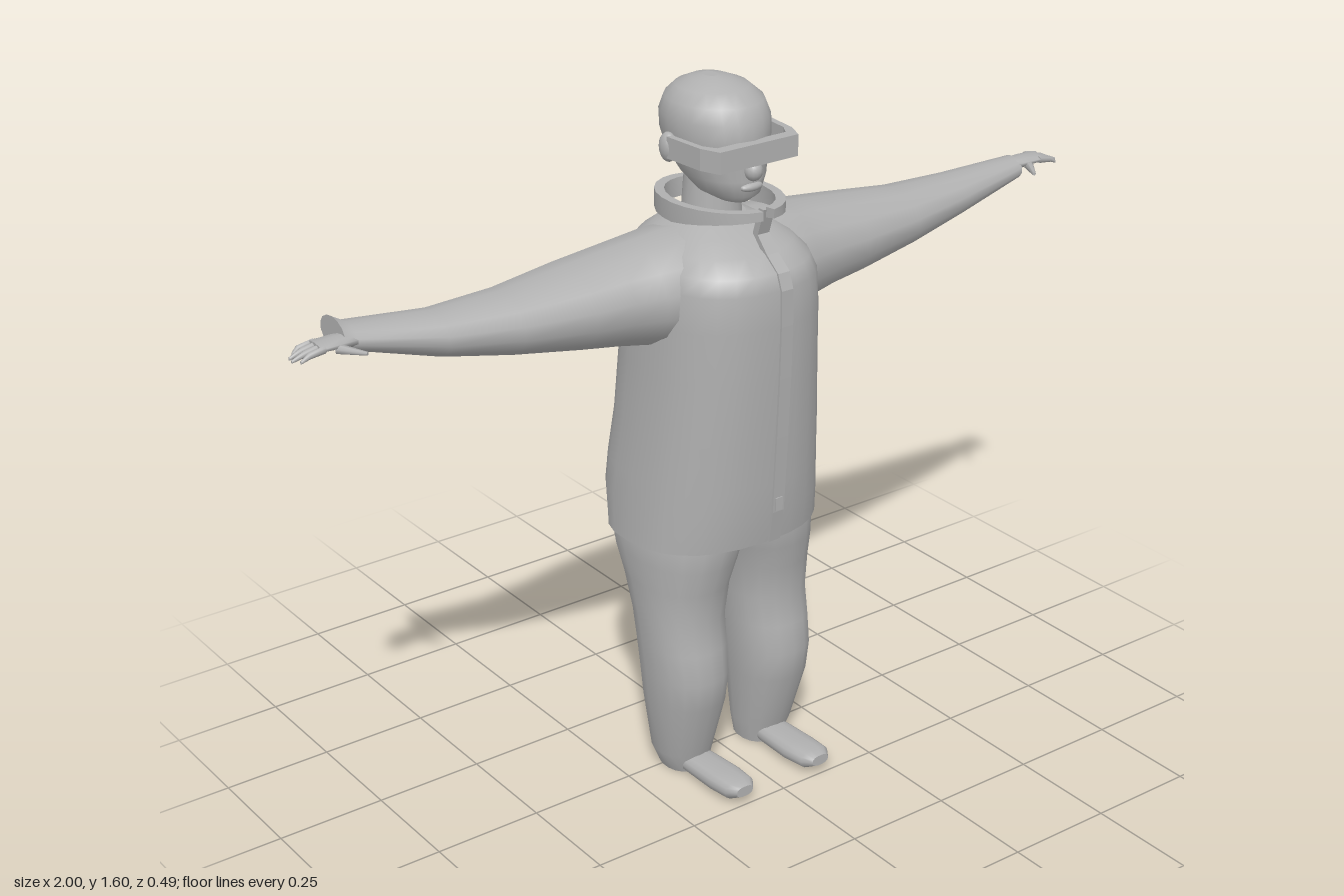
import * as THREE from 'three';
import { toCreasedNormals } from 'three/addons/utils/BufferGeometryUtils.js';

const grey = new THREE.MeshStandardMaterial({ color: 0xb0b0b0 });
grey.name = 'clay grey';

// Axis order (a, b, t) for lofts running along t
const AXES = { x: [1, 2, 0], y: [2, 0, 1], z: [0, 1, 2] };

// Skin through rounded sections: rows are [t, aMin, aMax, bMin, bMax]
function loft(rows, axis, sides, power = 2) {
  const order = AXES[axis], pos = [], index = [];
  const point = (a, b, t) => {
    const p = [0, 0, 0];
    p[order[0]] = a; p[order[1]] = b; p[order[2]] = t;
    return pos.push(...p) / 3 - 1;
  };
  const ring = ([t, a0, a1, b0, b1]) => {
    const ids = [];
    for (let i = 0; i < sides; i++) {
      const w = (i / sides) * Math.PI * 2, c = Math.cos(w), s = Math.sin(w);
      const u = Math.sign(c) * Math.abs(c) ** (2 / power), v = Math.sign(s) * Math.abs(s) ** (2 / power);
      ids.push(point((a0 + a1) / 2 + u * (a1 - a0) / 2, (b0 + b1) / 2 + v * (b1 - b0) / 2, t));
    }
    return ids;
  };
  const rings = rows.map(ring);
  for (let r = 0; r + 1 < rings.length; r++) {
    for (let i = 0; i < sides; i++) {
      const j = (i + 1) % sides, A = rings[r], B = rings[r + 1];
      index.push(A[i], A[j], B[j], A[i], B[j], B[i]);
    }
  }
  // end caps on their own vertices, for a crisp rim
  [rows[0], rows[rows.length - 1]].forEach((row, end) => {
    const ids = ring(row), mid = point((row[1] + row[2]) / 2, (row[3] + row[4]) / 2, row[0]);
    for (let i = 0; i < sides; i++) {
      const j = (i + 1) % sides;
      index.push(mid, ids[end ? i : j], ids[end ? j : i]);
    }
  });
  const g = new THREE.BufferGeometry();
  g.setAttribute('position', new THREE.Float32BufferAttribute(pos, 3));
  g.setIndex(index);
  g.computeVertexNormals();
  return g;
}

// Copy to the other side of x = 0, keeping faces outward
function mirrored(geometry) {
  const g = geometry.toNonIndexed();
  for (const a of [g.attributes.position, g.attributes.normal]) {
    for (let i = 0; i < a.count; i += 3) {
      const v = [0, 2, 1].map((k) => [-a.getX(i + k), a.getY(i + k), a.getZ(i + k)]);
      v.forEach((q, k) => a.setXYZ(i + k, ...q));
    }
  }
  return g;
}

// Flat outline in (x, z), extruded downwards from a top height
function plate(points, top, depth) {
  const shape = new THREE.Shape(points.map(([x, z]) => new THREE.Vector2(x, z)));
  return new THREE.ExtrudeGeometry(shape, { depth, bevelEnabled: false })
    .rotateX(Math.PI / 2).translate(0, top, 0);
}

const ellipsoid = (rx, ry, rz, x, y, z) =>
  new THREE.SphereGeometry(1, 14, 10).scale(rx, ry, rz).translate(x, y, z);

export function createModel() {
  const model = new THREE.Group();
  model.name = 'figure';
  const add = (name, geometry) => {
    const mesh = new THREE.Mesh(geometry, grey);
    mesh.name = name;
    model.add(mesh);
  };
  const pair = (name, geometry) => {
    add('left' + name, geometry);
    add('right' + name, mirrored(geometry));
  };

  // Coat body, with the hem dipping slightly at the back
  const coat = loft([
    [0.595, -0.222, 0.178, -0.228, 0.228], [0.68, -0.24, 0.19, -0.224, 0.224],
    [0.75, -0.235, 0.195, -0.218, 0.218], [0.86, -0.215, 0.202, -0.21, 0.21],
    [1.0, -0.206, 0.21, -0.2, 0.2], [1.12, -0.2, 0.214, -0.196, 0.196],
    [1.2, -0.2, 0.213, -0.19, 0.19], [1.235, -0.192, 0.2, -0.175, 0.175],
    [1.265, -0.168, 0.16, -0.15, 0.15], [1.29, -0.135, 0.105, -0.115, 0.115],
    [1.312, -0.1, 0.05, -0.07, 0.07],
  ], 'y', 28, 2.4);
  const cp = coat.attributes.position;
  for (let i = 0; i < cp.count; i++) {
    if (cp.getY(i) < 0.6) cp.setY(i, 0.596 + cp.getZ(i) * 0.05);
  }
  add('coat', coat);

  // Front placket following the chest and curving up to the neck
  const strip = [[0.605, 0.178], [0.68, 0.19], [0.86, 0.202], [1.0, 0.21], [1.12, 0.214],
    [1.2, 0.213], [1.235, 0.2], [1.265, 0.162], [1.3, 0.13], [1.36, 0.15]];
  const side = new THREE.Shape([
    ...strip.map(([y, z]) => new THREE.Vector2(z + 0.005, y)),
    ...strip.slice().reverse().map(([y, z]) => new THREE.Vector2(z - 0.012, y)),
  ]);
  add('placket', new THREE.ExtrudeGeometry(side, { depth: 0.03, bevelEnabled: false })
    .rotateY(-Math.PI / 2).translate(0.034, 0, 0));
  add('zipPull', new THREE.BoxGeometry(0.018, 0.03, 0.008).translate(0.018, 0.7, 0.196));

  // Sleeves; the right cuff flares up and back
  const sleeve = (cuff) => loft([
    [0.06, 1.08, 1.3, -0.14, 0.11], [0.13, 1.045, 1.297, -0.165, 0.125],
    [0.2, 1.058, 1.285, -0.165, 0.105], [0.27, 1.07, 1.276, -0.16, 0.09],
    [0.36, 1.085, 1.265, -0.157, 0.083], [0.52, 1.115, 1.25, -0.122, 0.06],
    [0.68, 1.15, 1.246, -0.1, 0.035], ...cuff,
  ], 'x', 14);
  add('leftSleeve', sleeve([[0.88, 1.195, 1.248, -0.072, 0.0]]));
  add('rightSleeve', mirrored(sleeve([
    [0.86, 1.2, 1.258, -0.105, -0.008], [0.885, 1.203, 1.272, -0.115, -0.015],
  ])));

  // Hands with four fingers and a thumb
  pair('Palm', loft([
    [0.86, 1.216, 1.244, -0.052, -0.008], [0.9, 1.223, 1.247, -0.058, 0.002],
    [0.945, 1.226, 1.244, -0.06, 0.002],
  ], 'x', 10));
  [[-0.052, 0.982], [-0.036, 0.997], [-0.02, 1.0], [-0.005, 0.988]].forEach(([z, tip], i) => {
    pair('Finger' + (i + 1), loft([
      [0.935, 1.227, 1.243, z - 0.007, z + 0.007], [0.97, 1.223, 1.237, z - 0.006, z + 0.006],
      [tip, 1.217, 1.224, z - 0.003, z + 0.003],
    ], 'x', 7));
  });
  pair('Thumb', new THREE.CylinderGeometry(0.004, 0.011, 0.065, 7)
    .rotateX(Math.PI / 2).rotateY(-0.55).translate(0.889, 1.228, 0.02));

  // Trouser legs, meeting under the coat
  pair('Leg', loft([
    [0.01, -0.045, 0.072, 0.055, 0.158], [0.06, -0.052, 0.085, 0.045, 0.18],
    [0.2, -0.072, 0.13, 0.03, 0.2], [0.27, -0.082, 0.14, 0.026, 0.204],
    [0.34, -0.09, 0.13, 0.022, 0.207], [0.41, -0.102, 0.118, 0.018, 0.209],
    [0.49, -0.14, 0.13, 0.008, 0.212], [0.55, -0.18, 0.145, -0.012, 0.216],
    [0.61, -0.2, 0.155, -0.03, 0.215], [0.66, -0.19, 0.15, -0.03, 0.2],
  ], 'y', 18, 2.2));
  pair('Shoe', loft([
    [-0.035, 0.08, 0.14, 0.012, 0.045], [0.08, 0.066, 0.148, 0.012, 0.056],
    [0.17, 0.062, 0.15, 0.014, 0.06], [0.225, 0.068, 0.146, 0.018, 0.062],
    [0.247, 0.085, 0.13, 0.03, 0.055],
  ], 'z', 14, 2.5));

  // Neck and head
  add('neck', new THREE.CylinderGeometry(0.058, 0.068, 0.13, 16).translate(0, 1.345, -0.02));
  add('head', loft([
    [1.362, 0.0, 0.095, -0.03, 0.03], [1.38, -0.045, 0.118, -0.06, 0.06],
    [1.415, -0.09, 0.124, -0.083, 0.083], [1.455, -0.125, 0.12, -0.098, 0.098],
    [1.495, -0.139, 0.126, -0.107, 0.107], [1.535, -0.139, 0.121, -0.109, 0.109],
    [1.567, -0.125, 0.104, -0.099, 0.099], [1.59, -0.1, 0.065, -0.075, 0.075],
    [1.603, -0.07, 0.025, -0.042, 0.042], [1.608, -0.045, -0.005, -0.015, 0.015],
  ], 'y', 22));
  add('nose', ellipsoid(0.02, 0.022, 0.02, 0, 1.438, 0.124));
  add('lips', ellipsoid(0.028, 0.01, 0.012, 0, 1.402, 0.118));
  pair('Ear', ellipsoid(0.018, 0.032, 0.024, 0.114, 1.475, -0.015));

  // Wraparound visor and its side arms
  const half = [[0.1, 0.145], [0.118, 0.1], [0.126, -0.005], [0.112, -0.005], [0.104, 0.09], [0.088, 0.118]];
  add('visor', plate([...half, ...half.slice().reverse().map(([x, z]) => [-x, z])], 1.502, 0.047));

  // Stand-up collar, open in front, rising towards its points
  const arc = (rx, rz) => Array.from({ length: 25 }, (_, i) => {
    const w = 0.12 + (i / 24) * (Math.PI * 2 - 0.24);
    return [rx * Math.sin(w), 0.008 + rz * Math.cos(w)];
  });
  const collar = plate([...arc(0.117, 0.17), ...arc(0.098, 0.145).reverse()], 1, 1);
  const p = collar.attributes.position;
  for (let i = 0; i < p.count; i++) {
    const f = p.getZ(i) / 0.17;
    p.setY(i, p.getY(i) > 0.5 ? 1.358 + 0.008 * f : 1.315 + (f > 0 ? 0.03 * f : 0.008 * f));
  }
  add('collar', toCreasedNormals(collar, 0.6));

  return model;
}
